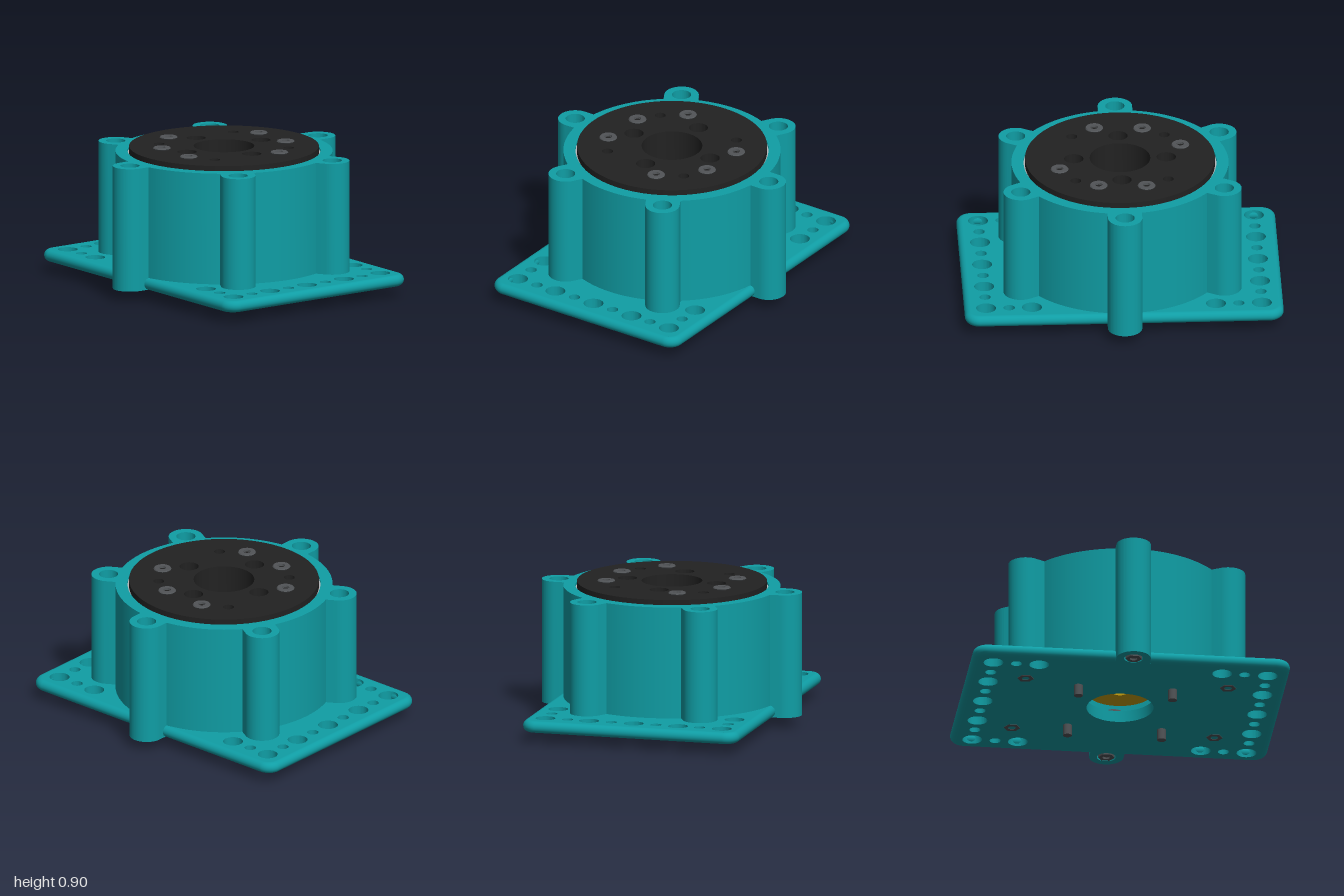
import * as THREE from 'three';
import { toCreasedNormals } from 'three/addons/utils/BufferGeometryUtils.js';

const material = (name, hex) => {
  const m = new THREE.MeshStandardMaterial({ color: hex });
  m.name = name;
  return m;
};

export function createModel() {
  const teal = material('teal housing', 0x109ea5);
  const black = material('black rotor', 0x222222);
  const steel = material('dark steel', 0x515457);
  const gold = material('gold', 0xc9a10f);
  const pale = material('pale grey', 0xb4b6b8);
  const root = new THREE.Group();
  root.name = 'rotaryActuator';

  const add = (name, geometry, mat, x = 0, y = 0, z = 0) => {
    const mesh = new THREE.Mesh(geometry, mat);
    mesh.name = name;
    mesh.position.set(x, y, z);
    root.add(mesh);
    return mesh;
  };
  const punch = (shape, x, z, r) => {
    const hole = new THREE.Path();
    hole.absarc(x, -z, r, 0, Math.PI * 2, true);
    shape.holes.push(hole);
  };
  const disc = (r) => new THREE.Shape().absarc(0, 0, r, 0, Math.PI * 2, false);
  // Extrude a plan outline upward from y0 to y1
  const slab = (shape, y0, y1, curveSegments = 24) => {
    const g = new THREE.ExtrudeGeometry(shape, { depth: y1 - y0, bevelEnabled: false, curveSegments });
    g.rotateX(-Math.PI / 2).translate(0, y0, 0);
    return toCreasedNormals(g, 0.5);
  };
  const lathe = (pts, segments = 32) =>
    toCreasedNormals(new THREE.LatheGeometry(pts.map(([r, y]) => new THREE.Vector2(r, y)), segments), 0.5);

  // Mounting plate core with its hole pattern
  const y0 = 0.07, y1 = 0.145, edge = (y1 - y0) / 2;
  const hx = 1 - edge, hz = 0.705 - edge, cr = 0.055;
  const plate = new THREE.Shape();
  plate.absarc(hx - cr, hz - cr, cr, 0, Math.PI / 2);
  plate.absarc(-hx + cr, hz - cr, cr, Math.PI / 2, Math.PI);
  plate.absarc(-hx + cr, -hz + cr, cr, Math.PI, Math.PI * 1.5);
  plate.absarc(hx - cr, -hz + cr, cr, Math.PI * 1.5, Math.PI * 2);
  for (const s of [-1, 1]) {
    for (const z of [-0.575, -0.29, 0, 0.29, 0.575]) punch(plate, s * 0.865, z, 0.062);
    for (const z of [-0.43, -0.145, 0.145, 0.43]) punch(plate, s * 0.865, z, 0.035);
    for (const z of [-0.575, 0.575]) {
      punch(plate, s * 0.577, z, 0.062);
      punch(plate, s * 0.72, z, 0.035);
    }
  }
  punch(plate, 0, 0, 0.21);
  add('mountingPlate', slab(plate, y0, y1), teal);

  // Rounded rim of the plate: straight bars and quarter-torus corners
  const ym = y0 + edge;
  for (const s of [-1, 1]) {
    add('plateRimLong', new THREE.CylinderGeometry(edge, edge, 2 * (hx - cr), 20, 1, true)
      .rotateZ(Math.PI / 2), teal, 0, ym, s * hz);
    add('plateRimShort', new THREE.CylinderGeometry(edge, edge, 2 * (hz - cr), 20, 1, true)
      .rotateX(Math.PI / 2), teal, s * hx, ym, 0);
  }
  [[1, 1], [-1, 1], [-1, -1], [1, -1]].forEach(([sx, sy], i) => {
    const corner = new THREE.TorusGeometry(cr, edge, 20, 8, Math.PI / 2);
    corner.rotateZ(i * Math.PI / 2).rotateX(-Math.PI / 2);
    add('plateRimCorner', corner, teal, sx * (hx - cr), ym, -sy * (hz - cr));
  });

  // Round housing with six bolt lugs
  const bodyR = 0.68, lugR = 0.108, lugAt = 0.737, top = 0.855;
  const half = Math.asin(lugR / bodyR);
  const body = new THREE.Shape();
  const lugs = [];
  for (let k = 0; k < 6; k++) {
    const a = Math.PI / 6 + k * Math.PI / 3;
    const x = lugAt * Math.cos(a), y = lugAt * Math.sin(a);
    body.absarc(x, y, lugR, a - Math.PI / 2, a + Math.PI / 2, false);
    body.absarc(0, 0, bodyR, a + half, a + Math.PI / 3 - half, false);
    lugs.push([x, -y]);
  }
  punch(body, 0, 0, 0.605);
  for (const [x, z] of lugs) punch(body, x, z, 0.06);
  add('housing', slab(body, y0, top, 32), teal);

  // Screw head: tapered, with a socket in the top
  const head = (r, h, taper) => lathe([
    [0, 0], [r * taper, 0], [r, h * 0.8], [r * 0.92, h], [r * 0.42, h], [r * 0.38, h * 0.4], [0, h * 0.4],
  ], 28);

  // Lug bolts sunk in their bores, and hex nuts beneath
  const nutShape = new THREE.Shape();
  for (let i = 0; i < 6; i++) {
    const a = i * Math.PI / 3;
    nutShape[i ? 'lineTo' : 'moveTo'](0.052 * Math.cos(a), 0.052 * Math.sin(a));
  }
  punch(nutShape, 0, 0, 0.024);
  const nut = slab(nutShape, 0.067, 0.1);
  const lugHead = head(0.059, 0.06, 1);
  for (const [x, z] of lugs) {
    add('lugBolt', lugHead, steel, x, 0.68, z);
    add('lugNut', nut, steel, x, 0, z);
    add('lugBoltEnd', new THREE.CylinderGeometry(0.024, 0.024, 0.6, 16), steel, x, 0.38, z);
  }

  // Bearing ring in the gap around the rotor
  const gap = disc(0.606);
  punch(gap, 0, 0, 0.585);
  add('bearingRing', slab(gap, 0.55, 0.84, 48), pale);

  // Black rotor with centre bore and two sets of holes
  const rotor = disc(0.595);
  punch(rotor, 0, 0, 0.19);
  for (const [x, z] of [[1, 0], [-1, 0], [0, 1], [0, -1]]) punch(rotor, x * 0.29, z * 0.29, 0.06);
  for (const x of [-0.29, 0.29]) for (const z of [-0.29, 0.29]) punch(rotor, x, z, 0.034);
  add('rotor', slab(rotor, 0.5, 0.885, 48), black);

  // Rotor face screws
  const rotorHead = head(0.056, 0.03, 0.7);
  for (const [x, z] of [[-0.15, -0.385], [0.15, -0.37], [0.385, -0.145],
    [0.145, 0.385], [-0.155, 0.37], [-0.385, 0.145]]) {
    add('rotorScrew', rotorHead, steel, x, 0.868, z);
  }

  // Gold drive hub inside the bore
  const hub = disc(0.21);
  punch(hub, 0, 0, 0.052);
  add('driveHub', slab(hub, 0.18, 0.23, 40), gold);
  for (const z of [-0.13, 0.13]) add('hubScrew', head(0.056, 0.04, 1), steel, 0.012, 0.23, z);
  add('hubKey', new THREE.BoxGeometry(0.05, 0.05, 0.13), pale, 0.12, 0.25, 0);
  add('hubKeySlot', new THREE.BoxGeometry(0.046, 0.008, 0.05), steel, 0.12, 0.276, 0.02);

  // Inner floor screws and pins under the plate
  const floorHead = head(0.06, 0.05, 1);
  for (const [x, z] of [[1, 0], [-1, 0], [0, 1], [0, -1]]) {
    add('floorScrew', floorHead, steel, x * 0.345, y1, z * 0.345);
  }
  for (const x of [-0.297, 0.297]) for (const z of [-0.297, 0.297]) {
    add('bottomPin', new THREE.CylinderGeometry(0.028, 0.028, 0.11, 20), steel, x, 0.055, z);
  }
  return root;
}
